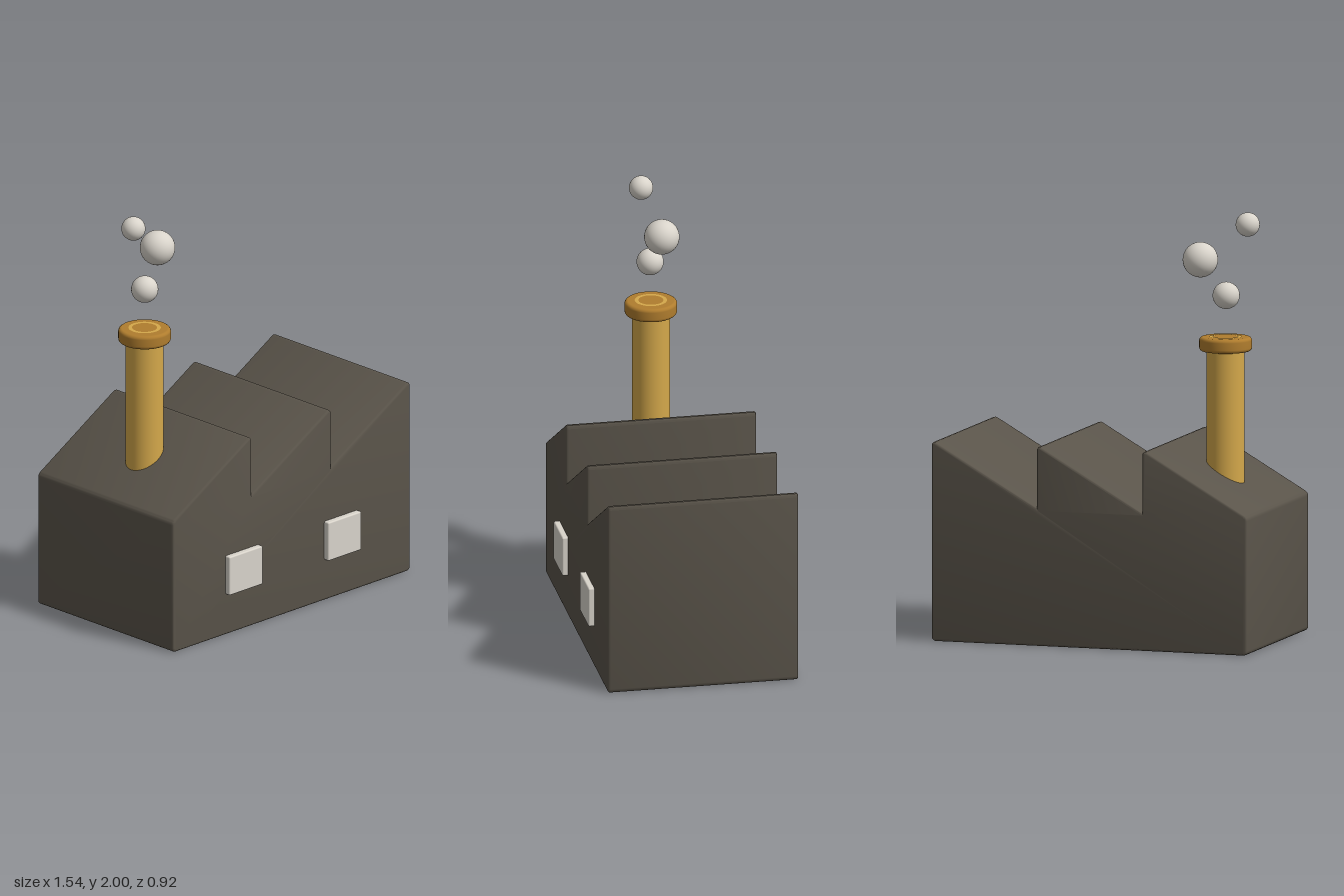
import * as THREE from 'three';
import { toCreasedNormals } from 'three/addons/utils/BufferGeometryUtils.js';
import { RoundedBoxGeometry } from 'three/addons/geometries/RoundedBoxGeometry.js';

const material = (name, color) => {
  const m = new THREE.MeshStandardMaterial({ color });
  m.name = name;
  return m;
};

// Moves every edge of a counter-clockwise outline inwards by d
function insetOutline(points, d) {
  const n = points.length;
  return points.map((p, i) => {
    const a = p.clone().sub(points[(i + n - 1) % n]).normalize();
    const b = points[(i + 1) % n].clone().sub(p).normalize();
    const na = new THREE.Vector2(-a.y, a.x);
    const nb = new THREE.Vector2(-b.y, b.x);
    return na.clone().add(nb).multiplyScalar(d / (1 + na.dot(nb))).add(p);
  });
}

// Closed shape with every corner softened by a small curve
function softShape(points, r) {
  const n = points.length;
  const shape = new THREE.Shape();
  points.forEach((p, i) => {
    const from = points[(i + n - 1) % n].clone().sub(p).setLength(r).add(p);
    const to = points[(i + 1) % n].clone().sub(p).setLength(r).add(p);
    if (i === 0) shape.moveTo(from.x, from.y);
    else shape.lineTo(from.x, from.y);
    shape.quadraticCurveTo(p.x, p.y, to.x, to.y);
  });
  shape.closePath();
  return shape;
}

// Upright cylinder with rounded rims
function softCylinder(radius, y0, y1, bevel) {
  const profile = [new THREE.Vector2(0, y0)];
  for (let i = 0; i <= 4; i++) {
    const t = (i / 4) * Math.PI / 2;
    profile.push(new THREE.Vector2(radius - bevel + bevel * Math.sin(t), y0 + bevel - bevel * Math.cos(t)));
  }
  for (let i = 0; i <= 4; i++) {
    const t = (i / 4) * Math.PI / 2;
    profile.push(new THREE.Vector2(radius - bevel + bevel * Math.cos(t), y1 - bevel + bevel * Math.sin(t)));
  }
  profile.push(new THREE.Vector2(0, y1));
  return new THREE.LatheGeometry(profile, 48);
}

export function createModel() {
  const model = new THREE.Group();
  model.name = 'factory';

  const wall = material('dark wall', 0x5a544a);
  const gold = material('chimney gold', 0xd4a84b);
  const bronze = material('rim bronze', 0xb07d2e);
  const pale = material('pale grey', 0xd9d4cb);

  const add = (name, geometry, mat, x = 0, y = 0, z = 0) => {
    const mesh = new THREE.Mesh(geometry, mat);
    mesh.name = name;
    mesh.position.set(x, y, z);
    model.add(mesh);
    return mesh;
  };

  // Body with a sawtooth roof of three teeth, from right to left
  const half = 0.77, tooth = (2 * half) / 3, low = 0.645, high = 0.94;
  const outline = [new THREE.Vector2(-half, 0), new THREE.Vector2(half, 0)];
  for (let i = 0; i < 3; i++) {
    const x = half - i * tooth;
    outline.push(new THREE.Vector2(x, high), new THREE.Vector2(x - tooth, low));
  }
  const bevel = 0.01, back = -0.463, front = 0.432;
  const body = new THREE.ExtrudeGeometry(softShape(insetOutline(outline, bevel), 0.012), {
    depth: front - back - 2 * bevel,
    bevelSize: bevel,
    bevelThickness: bevel,
    bevelSegments: 3,
    curveSegments: 4,
  });
  body.translate(0, 0, back + bevel);
  add('body', toCreasedNormals(body, 0.6), wall);

  // Front windows
  for (const [side, x] of [['right', -0.322], ['left', 0.318]]) {
    add(side + 'Window', new RoundedBoxGeometry(0.216, 0.19, 0.05, 2, 0.007), pale, x, 0.295, 0.435);
  }

  // Chimney with its rim and flue ring
  const cx = -0.515, cz = -0.015;
  add('chimney', softCylinder(0.088, 0.6, 1.41, 0.012), gold, cx, 0, cz);
  add('chimneyRim', softCylinder(0.122, 1.354, 1.42, 0.016), bronze, cx, 0, cz);
  const flue = new THREE.RingGeometry(0.058, 0.075, 48).rotateX(-Math.PI / 2);
  add('flueRing', flue, gold, cx, 1.421, cz);

  // Smoke puffs
  const puffs = [
    [-0.517, 1.612, -0.012, 0.063],
    [-0.402, 1.778, -0.045, 0.082],
    [-0.614, 1.944, 0.012, 0.056],
  ];
  puffs.forEach(([x, y, z, r], i) => {
    add('smokePuff' + (i + 1), new THREE.SphereGeometry(r, 32, 20), pale, x, y, z);
  });

  return model;
}
